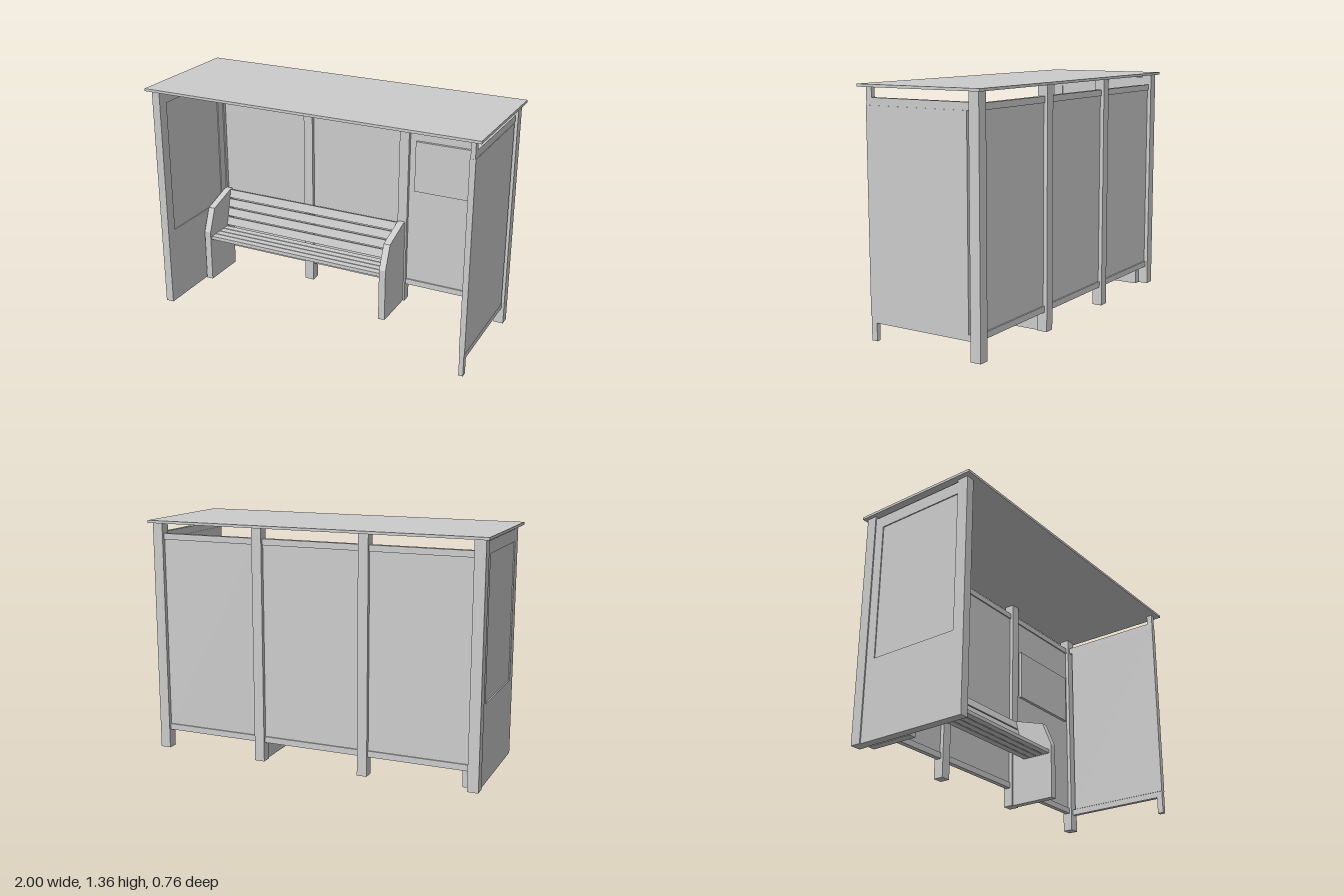
import * as THREE from 'three';

const material = new THREE.MeshStandardMaterial({ color: 0xcccccc, flatShading: true });

export function createModel() {
  const shelter = new THREE.Group();
  shelter.name = 'shelter';

  // Box given by its lower and upper bounds on each axis
  function box(name, [x0, x1], [y0, y1], [z0, z1], parent = shelter) {
    const mesh = new THREE.Mesh(new THREE.BoxGeometry(x1 - x0, y1 - y0, z1 - z0), material);
    mesh.position.set((x0 + x1) / 2, (y0 + y1) / 2, (z0 + z1) / 2);
    mesh.name = name;
    parent.add(mesh);
    return mesh;
  }

  // Side-on outline of (z, y) points, extruded from x0 to x1
  function sidePlate(name, points, x0, x1, hole, parent = shelter) {
    const toVectors = list => list.map(([z, y]) => new THREE.Vector2(z, y));
    const shape = new THREE.Shape(toVectors(points));
    if (hole) shape.holes.push(new THREE.Path(toVectors(hole)));
    const geometry = new THREE.ExtrudeGeometry(shape, { depth: x1 - x0, bevelEnabled: false });
    geometry.rotateY(-Math.PI / 2).translate(x1, 0, 0);
    const mesh = new THREE.Mesh(geometry, material);
    mesh.name = name;
    parent.add(mesh);
  }

  box('roof', [-1, 1], [1.345, 1.36], [-0.38, 0.38]);

  // Back posts, with a framed panel in each bay between them
  const posts = [[-0.98, -0.918], [-0.346, -0.288], [0.286, 0.345], [0.917, 0.978]];
  posts.forEach((span, i) => {
    box('backPost', span, [0, 1.345], [-0.36, -0.3]);
    if (i === 3) return;
    const bay = [span[1], posts[i + 1][0]];
    box('backTopRail', bay, [1.25, 1.285], [-0.345, -0.315]);
    box('backBottomRail', bay, [0.11, 0.145], [-0.345, -0.315]);
    box('backPanel', bay, [0.145, 1.25], [-0.337, -0.323]);
  });

  // Notice board on the inside of the back panel
  box('noticeBoard', [0.385, 0.885], [0.735, 1.045], [-0.323, -0.305]);

  // Open-framed side at +x
  const frameX = [0.937, 0.963];
  box('sideFrontPost', frameX, [0, 1.345], [0.315, 0.35]);
  box('sideTopRail', frameX, [1.25, 1.29], [-0.3, 0.348]);
  box('sideBottomRail', frameX, [0.1, 0.135], [-0.3, 0.348]);
  box('sidePanel', [0.934, 0.966], [0.135, 1.25], [-0.28, 0.351]);

  // Solid side wall at -x with a recessed display panel
  sidePlate('sideWall',
    [[-0.3, 0], [0.35, 0], [0.35, 1.345], [0.285, 1.345], [0.285, 1.33], [-0.3, 1.33]],
    -0.973, -0.924,
    [[-0.245, 0.46], [-0.245, 1.26], [0.285, 1.26], [0.285, 0.46]]);
  box('displayPanel', [-0.967, -0.93], [0.46, 1.26], [-0.245, 0.285]);

  // Bench: two shaped ends joined by slats
  const bench = new THREE.Group();
  bench.name = 'bench';
  shelter.add(bench);
  const endProfile = [[-0.3, 0], [-0.02, 0], [-0.02, 0.325], [-0.08, 0.47], [-0.27, 0.53], [-0.3, 0.53]];
  sidePlate('benchEnd', endProfile, -0.917, -0.875, null, bench);
  sidePlate('benchEnd', endProfile, 0.294, 0.335, null, bench);
  const slatX = [-0.875, 0.294];
  for (let i = 0; i < 4; i++) {
    const z = -0.035 - i * 0.047;
    box('seatSlat', slatX, [0.273, 0.295], [z - 0.041, z], bench);
    const y = 0.3 + i * 0.058, back = -0.225 - i * 0.015;
    const slat = box('backSlat', slatX, [y, y + 0.052], [back - 0.02, back], bench);
    slat.rotation.x = -0.25;
  }

  return shelter;
}
